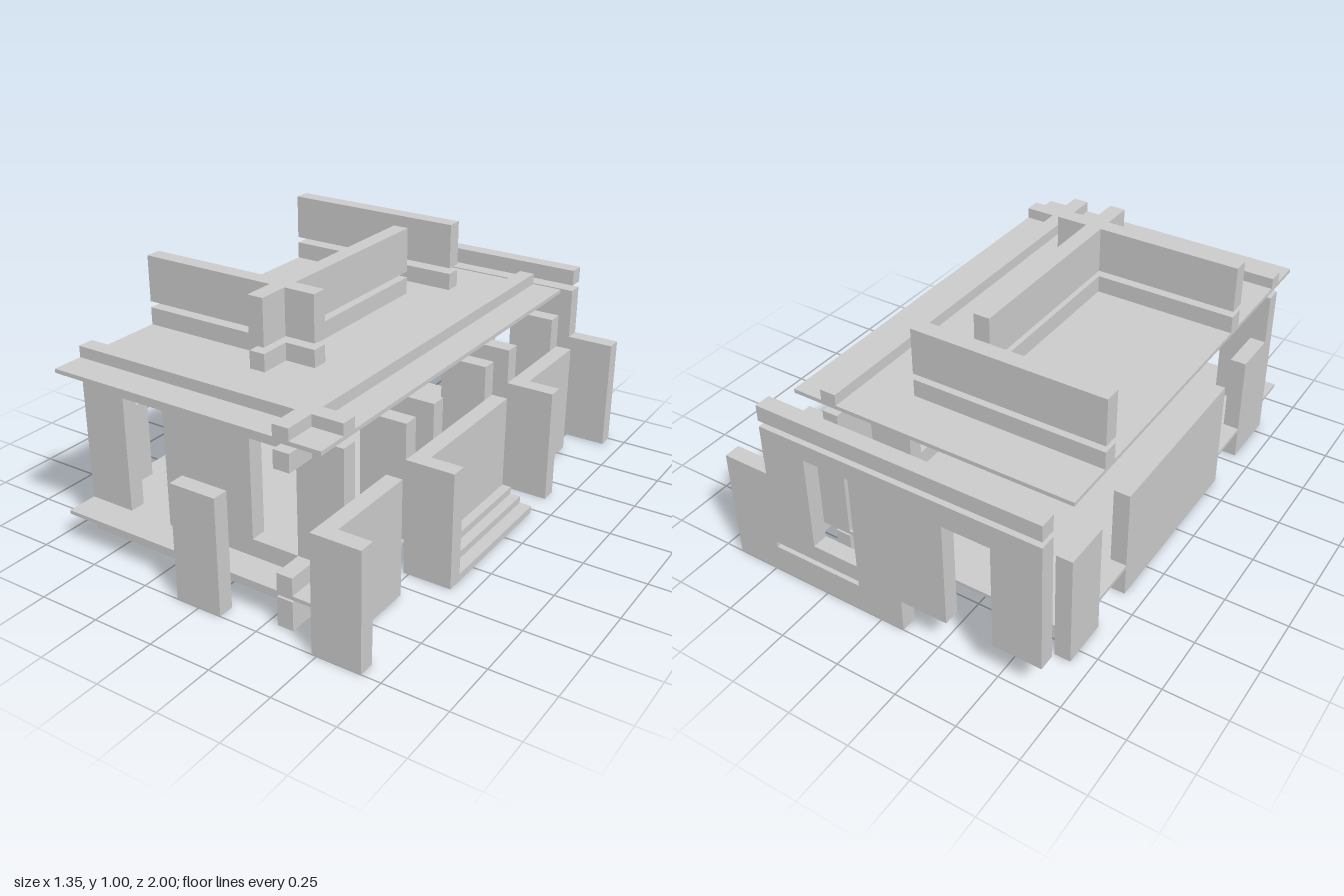
import * as THREE from 'three';

const material = new THREE.MeshStandardMaterial({ color: 0xcccccc, flatShading: true });

export function createModel() {
  const model = new THREE.Group();

  // Box given by its limits on each axis
  function block(name, [x0, x1], [y0, y1], [z0, z1], parent = model) {
    const mesh = new THREE.Mesh(new THREE.BoxGeometry(x1 - x0, y1 - y0, z1 - z0), material);
    mesh.position.set((x0 + x1) / 2, (y0 + y1) / 2, (z0 + z1) / 2);
    mesh.name = name;
    parent.add(mesh);
  }

  function part(name) {
    const group = new THREE.Group();
    group.name = name;
    model.add(group);
    return group;
  }

  // Upright panel in the x-y plane with rectangular holes
  function panel(name, outline, holes, z0, z1) {
    const shape = new THREE.Shape(outline.map(([x, y]) => new THREE.Vector2(x, y)));
    for (const [x0, x1, y0, y1] of holes) {
      shape.holes.push(new THREE.Path([
        new THREE.Vector2(x0, y0), new THREE.Vector2(x0, y1),
        new THREE.Vector2(x1, y1), new THREE.Vector2(x1, y0),
      ]));
    }
    const geometry = new THREE.ExtrudeGeometry(shape, { depth: z1 - z0, bevelEnabled: false });
    const mesh = new THREE.Mesh(geometry, material);
    mesh.position.z = z0;
    mesh.name = name;
    model.add(mesh);
  }

  const spanX = [-0.675, 0.48], spanZ = [-0.81, 0.93];
  const beamX = [0.29, 0.355], beamZ = [0.74, 0.805];
  const low = [0, 0.465];

  // Floor and roof slabs
  block('floorSlab', spanX, [0.125, 0.14], spanZ);
  block('roofSlab', spanX, [0.704, 0.72], spanZ);

  // Crossing beams under the floor and on the roof
  for (const [name, y] of [['foundationBeams', [0, 0.116]], ['roofBeams', [0.72, 0.765]]]) {
    const group = part(name);
    block('crossBeam', spanX, y, beamZ, group);
    block('longBeam', beamX, y, spanZ, group);
  }

  // Front wall with doorway and window
  panel('frontWall',
    [[-0.675, 0.14], [-0.48, 0.14], [-0.48, 0.605], [-0.29, 0.605], [-0.29, 0.14],
      [0.48, 0.14], [0.48, 0.675], [-0.675, 0.675]],
    [[0.095, 0.29, 0.21, 0.605]], beamZ[0], beamZ[1]);

  // Back wall with doorway, window, floor slot and low end
  panel('backWall',
    [[-0.675, 0.14], [-0.48, 0.14], [-0.48, 0.58], [-0.29, 0.58], [-0.29, 0.14], [-0.097, 0.14],
      [-0.097, 0], [0.675, 0], [0.675, 0.465], [0.48, 0.465], [0.48, 0.675], [-0.675, 0.675]],
    [[0.095, 0.29, 0.21, 0.605], [0.095, 0.479, 0.116, 0.14]], -1, -0.935);
  block('backParapet', spanX, [0.7, 0.765], [-1, -0.935]);

  // Long window wall: sill, lintel and fins
  const windowWall = part('windowWall');
  block('sill', beamX, [0.14, 0.21], spanZ, windowWall);
  block('lintel', beamX, [0.605, 0.675], spanZ, windowWall);
  for (const z of [-0.81, -0.42, -0.225, 0.165, 0.355]) {
    block('fin', [0.29, 0.48], [0.14, 0.605], [z, z + 0.065], windowWall);
  }

  // Low L-shaped garden walls on the left side
  for (const [z0, z1, r0] of [[0.547, 1, 0.935], [-0.225, 0.42, 0.355], [-0.81, -0.355, -0.42]]) {
    const wall = part('leftLowWall');
    block('run', [0.48, 0.545], low, [z0, z1], wall);
    block('return', [0.545, 0.675], low, [r0, r0 + 0.065], wall);
  }

  // Steps beside the middle low wall
  [0.675, 0.625, 0.583].forEach((x, i) =>
    block('step', [0.545, x], [i * 0.029, (i + 1) * 0.029], [-0.225, 0.355]));

  // Low walls on the right side and the screen before the front
  for (const z of [[-0.81, -0.615], [-0.42, 0.355], [0.547, 0.805]]) {
    block('rightLowWall', [-0.675, -0.61], low, z);
  }
  block('frontScreen', [-0.097, 0.095], low, [0.935, 1]);

  // Rooftop walls, each with a separate base course
  for (const [name, y] of [['rooftopBase', [0.72, 0.79]], ['rooftopWalls', [0.815, 1]]]) {
    const group = part(name);
    block('frontCrossWall', [-0.675, 0.095], y, [0.352, 0.417], group);
    block('backCrossWall', [-0.675, 0.095], y, [-0.615, -0.55], group);
    block('longWall', [-0.097, -0.032], y, [-0.42, 0.545], group);
  }

  return model;
}
